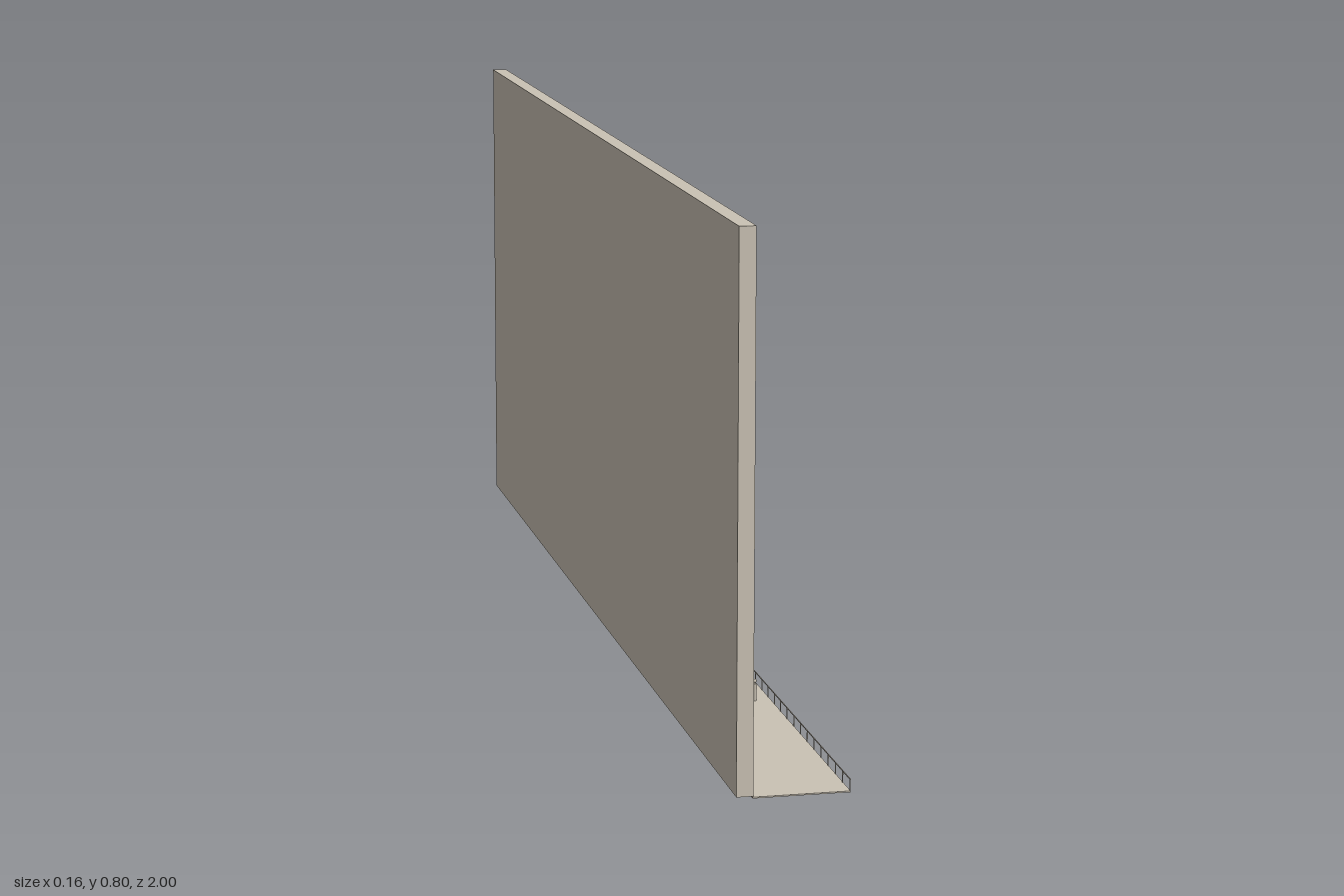
import * as THREE from 'three';

const stone = new THREE.MeshStandardMaterial({ color: 0xcac2b4 });
stone.name = 'warm grey';

function add(parent, name, geometry, x = 0, y = 0, z = 0) {
  const mesh = new THREE.Mesh(geometry, stone);
  mesh.name = name;
  mesh.position.set(x, y, z);
  parent.add(mesh);
  return mesh;
}

// Box given by its centre in x and z and its bottom in y
function box(parent, name, w, h, d, x, y, z) {
  return add(parent, name, new THREE.BoxGeometry(w, h, d), x, y + h / 2, z);
}

function group(parent, name, x, y, z) {
  const g = new THREE.Group();
  g.name = name;
  g.position.set(x, y, z);
  parent.add(g);
  return g;
}

// Side profile extruded to a centred width along z
function profile(points, width) {
  const shape = new THREE.Shape(points.map(([x, y]) => new THREE.Vector2(x, y)));
  const geo = new THREE.ExtrudeGeometry(shape, { depth: width, bevelEnabled: false });
  return geo.translate(0, 0, -width / 2);
}

// Standing figure with a small head
function figure(parent, x, z) {
  const g = group(parent, 'figure', x, 0, z);
  add(g, 'figureBody', new THREE.CylinderGeometry(0.0035, 0.0025, 0.027, 6), 0, 0.0135, 0);
  add(g, 'figureHead', new THREE.SphereGeometry(0.0032, 8, 6), 0, 0.031, 0);
}

// Armoured vehicle with a row of figures on one side
function vehicle(parent, z, side) {
  const g = group(parent, 'vehicle', 0.011, 0.002, z);
  add(g, 'vehicleHull', profile([
    [-0.048, 0.004], [0.048, 0.004], [0.048, 0.022], [0.043, 0.028], [-0.043, 0.028], [-0.048, 0.022],
  ], 0.04));
  add(g, 'vehicleCabin', profile([
    [-0.021, 0.027], [0.024, 0.027], [0.022, 0.038], [-0.018, 0.038],
  ], 0.034));
  for (const x of [-0.032, 0.032]) for (const s of [-1, 1]) {
    const wheel = add(g, 'wheel', new THREE.CylinderGeometry(0.007, 0.007, 0.005, 12), x, 0.007, s * 0.0175);
    wheel.rotation.x = Math.PI / 2;
  }
  for (let i = 0; i < 5; i++) {
    figure(g, -0.044 + i * 0.022, side * (0.037 - 0.004 * (Math.abs(i - 2) / 2)));
  }
}

export function createModel() {
  const model = new THREE.Group();
  model.name = 'streetScene';

  // Backdrop wall and pavement
  box(model, 'wall', 0.024, 0.797, 2, -0.071, 0.003, 0);
  box(model, 'pavement', 0.14, 0.002, 2, 0.01, 0, 0);

  // Railing along the open edge
  const railing = group(model, 'railing', 0.0795, 0, 0);
  const posts = 50;
  for (let i = 0; i <= posts; i++) {
    box(railing, 'railPost', 0.0012, 0.018, 0.0015, 0, 0.001, -0.999 + i * (1.998 / posts));
  }
  box(railing, 'topRail', 0.0012, 0.0014, 2, 0, 0.018, 0);

  // Two vehicles with their figures, and a small loose block
  vehicle(model, -0.245, -1);
  vehicle(model, 0.502, 1);
  box(model, 'looseBlock', 0.005, 0.006, 0.005, -0.005, 0.025, -0.193);

  // Low car parked at an angle by the wall
  const car = group(model, 'car', -0.032, 0.002, 0.076);
  car.rotation.y = -Math.PI / 2 + 0.31;
  add(car, 'carBody', profile([
    [-0.042, 0.003], [0.042, 0.003], [0.042, 0.01], [0.017, 0.014], [0.008, 0.022],
    [-0.018, 0.022], [-0.027, 0.014], [-0.042, 0.012],
  ], 0.031));
  for (const x of [-0.025, 0.025]) for (const s of [-1, 1]) {
    const wheel = add(car, 'carWheel', new THREE.CylinderGeometry(0.005, 0.005, 0.004, 12), x, 0.005, s * 0.0137);
    wheel.rotation.x = Math.PI / 2;
  }

  // Hovering craft: slab hull, raised deck and four flared thrusters
  const craft = group(model, 'hoverCraft', 0.045, 0, 0.072);
  const hull = profile([
    [-0.05, 0.202], [-0.043, 0.202], [-0.036, 0.206], [0.036, 0.206], [0.043, 0.202], [0.05, 0.202],
    [0.049, 0.212], [0.042, 0.219], [-0.042, 0.219], [-0.049, 0.212],
  ], 0.043);
  add(craft, 'craftHull', hull).rotation.y = Math.PI / 2;
  box(craft, 'craftDeck', 0.036, 0.008, 0.055, 0, 0.217, 0);
  for (const sx of [-1, 1]) for (const sz of [-1, 1]) {
    add(craft, 'thruster', new THREE.CylinderGeometry(0.0055, 0.0115, 0.06, 16), sx * 0.0152, 0.175, sz * 0.0395);
  }
  return model;
}
